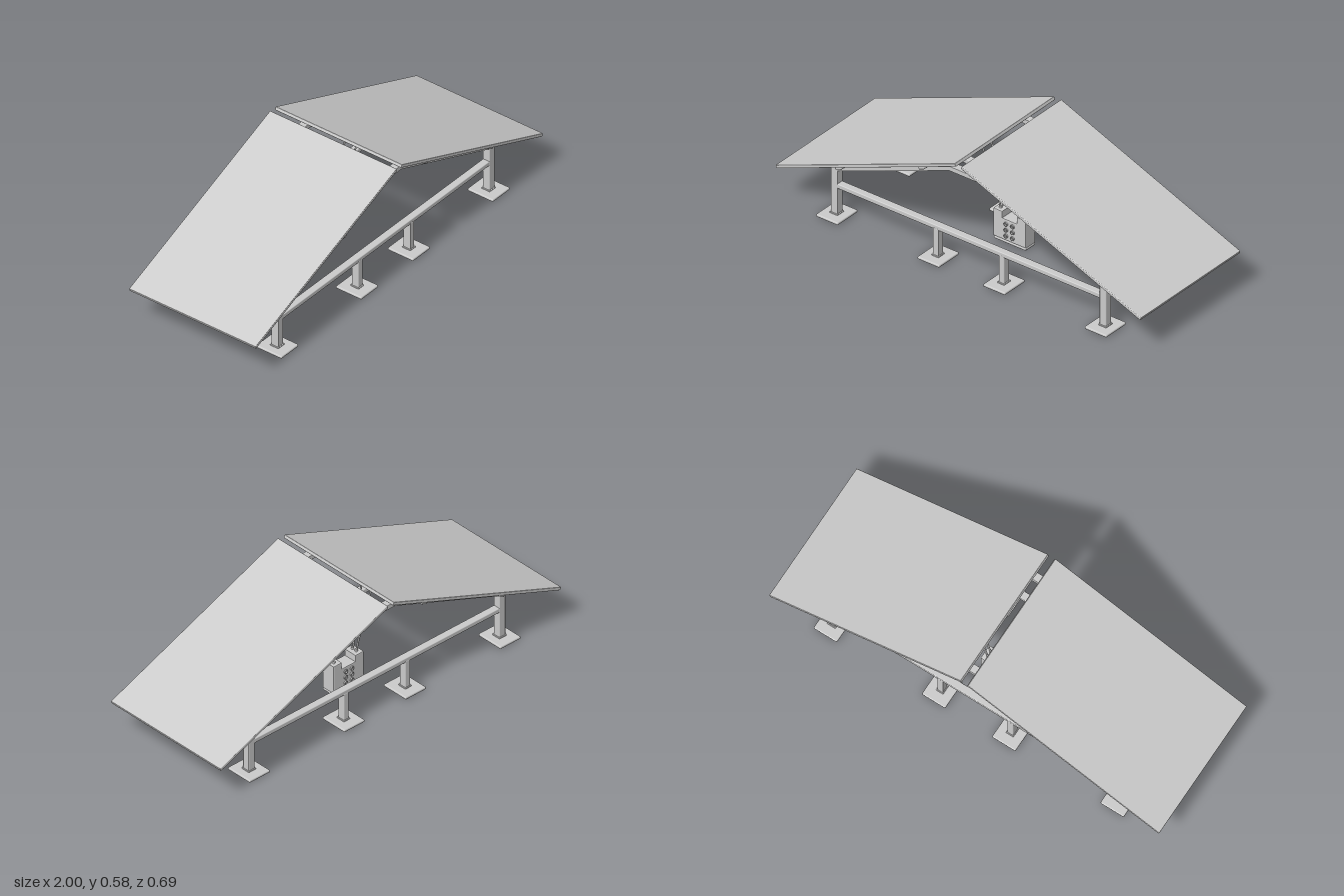
import * as THREE from 'three';
import { RoundedBoxGeometry } from 'three/addons/geometries/RoundedBoxGeometry.js';

const mat = new THREE.MeshStandardMaterial({ color: 0xcccccc, roughness: 0.7 });
const SLOPE = Math.atan(0.396);
const BOX_Z = -0.045;

function add(parent, name, geometry, x = 0, y = 0, z = 0) {
  const mesh = new THREE.Mesh(geometry, mat);
  mesh.name = name;
  mesh.position.set(x, y, z);
  parent.add(mesh);
  return mesh;
}

const block = (w, h, d, r = 0.004) => new RoundedBoxGeometry(w, h, d, 2, r);

// Extrude an outline of [x, y] points along z, centred, with a small bevel
function extrude(points, depth, bevel = 0.002) {
  const shape = new THREE.Shape(points.map(([x, y]) => new THREE.Vector2(x, y)));
  const g = new THREE.ExtrudeGeometry(shape, {
    depth: depth - 2 * bevel, bevelThickness: bevel, bevelSize: bevel, bevelOffset: -bevel, bevelSegments: 2,
  });
  return g.translate(0, 0, -depth / 2 + bevel);
}

// Post standing on a flat foot plate
function post(parent, name, x, height, width) {
  add(parent, name, block(width, height, 0.038), x, height / 2 + 0.004, 0);
  add(parent, name + 'Collar', block(width + 0.008, 0.008, 0.046, 0.003), x, 0.014, 0);
  add(parent, name + 'Foot', block(0.12, 0.013, 0.14, 0.005), x, 0.0065, 0);
}

// One support frame: four posts, a tie beam and a bent rafter
function supportFrame() {
  const frame = new THREE.Group();
  for (const s of [-1, 1]) {
    post(frame, 'outerPost', s * 0.735, 0.232, 0.036);
    post(frame, 'innerPost', s * 0.18, 0.15, 0.03);
  }
  add(frame, 'tieBeam', block(1.46, 0.023, 0.036), 0, 0.158, 0);
  const outer = [[0.752, 0.245], [0.108, 0.498]];
  const inner = [[0.105, 0.475], [0.752, 0.221]];
  const half = [...outer, ...outer.map(([x, y]) => [-x, y]).reverse()];
  add(frame, 'rafter', extrude([...half, ...inner.map(([x, y]) => [-x, y]).reverse(), ...inner], 0.038));
  return frame;
}

// Everything on one slope of the roof; side is +1 or -1
function roofSide(side) {
  const g = new THREE.Group();
  const sloped = (name, geometry, x, drop) => {
    const y = 0.378 - (x - 0.507) * 0.396 - drop;
    add(g, name, geometry, side * x, y, 0).rotation.z = -side * SLOPE;
  };
  sloped('panel', block(1.056, 0.016, 0.692, 0.003), 0.507, 0);
  for (const x of [0.235, 0.69]) sloped('purlin', block(0.032, 0.027, 0.62), x, 0.024);
  sloped('junctionBar', block(0.045, 0.02, 0.36, 0.005), 0.905, 0.017);

  // Two cables from the control box, sagging below the rafters to the junction bar
  for (const s of [-1, 1]) {
    const z0 = BOX_Z + s * 0.012;
    const path = [
      [0.066, 0.15, 0], [0.078, 0.2, 0], [0.115, 0.33, 0.1], [0.148, 0.45, 0.2],
      [0.168, 0.474, 0.25], [0.21, 0.458, 0.3], [0.33, 0.388, 0.45], [0.45, 0.336, 0.6],
      [0.57, 0.3, 0.75], [0.69, 0.262, 0.9], [0.8, 0.226, 1], [0.89, 0.205, 1],
    ].map(([x, y, t]) => new THREE.Vector3(side * x, y, THREE.MathUtils.lerp(z0, s * 0.11, t)));
    add(g, 'cable', new THREE.TubeGeometry(new THREE.CatmullRomCurve3(path), 64, 0.004, 8));
    add(g, 'cableGland', new THREE.CylinderGeometry(0.007, 0.007, 0.012, 12), side * 0.066, 0.156, z0);
  }
  return g;
}

// Control box with a notched top, base and sockets on front and back
function controlBox() {
  const g = new THREE.Group();
  const x = 0.088;
  add(g, 'boxBody', extrude([
    [-x, 0.014], [x, 0.014], [x, 0.153], [0.04, 0.153], [0.04, 0.12],
    [-0.04, 0.12], [-0.04, 0.153], [-x, 0.153],
  ], 0.07, 0.004));
  add(g, 'boxBase', block(0.176, 0.012, 0.068), 0, 0.006, 0);
  add(g, 'baseSpacer', new THREE.BoxGeometry(0.16, 0.008, 0.056), 0, 0.013, 0);
  for (const face of [-1, 1]) {
    for (const sx of [-0.018, 0.018]) {
      for (const y of [0.038, 0.068, 0.098]) {
        const ring = new THREE.LatheGeometry(
          [[0.007, 0], [0.007, 0.006], [0.01, 0.006], [0.01, -0.002]].map(([r, h]) => new THREE.Vector2(r, h)), 16);
        const socket = add(g, 'socket', ring, sx, y, face * 0.034);
        socket.material = socketMat;
        socket.rotation.x = face * Math.PI / 2;
        const pin = add(g, 'socketPin', new THREE.CylinderGeometry(0.003, 0.003, 0.006, 8), sx, y, face * 0.036);
        pin.rotation.x = Math.PI / 2;
      }
    }
  }
  return g;
}
const socketMat = mat.clone();
socketMat.side = THREE.DoubleSide;

export function createModel() {
  const model = new THREE.Group();
  model.name = 'panelCanopy';
  for (const z of [0.257, -0.242]) {
    const frame = supportFrame();
    frame.name = z > 0 ? 'frontFrame' : 'backFrame';
    frame.position.z = z;
    model.add(frame);
  }
  for (const side of [1, -1]) {
    const roof = roofSide(side);
    roof.name = side > 0 ? 'leftRoof' : 'rightRoof';
    model.add(roof);
  }
  const box = controlBox();
  box.name = 'controlBox';
  box.position.z = BOX_Z;
  model.add(box);
  return model;
}
